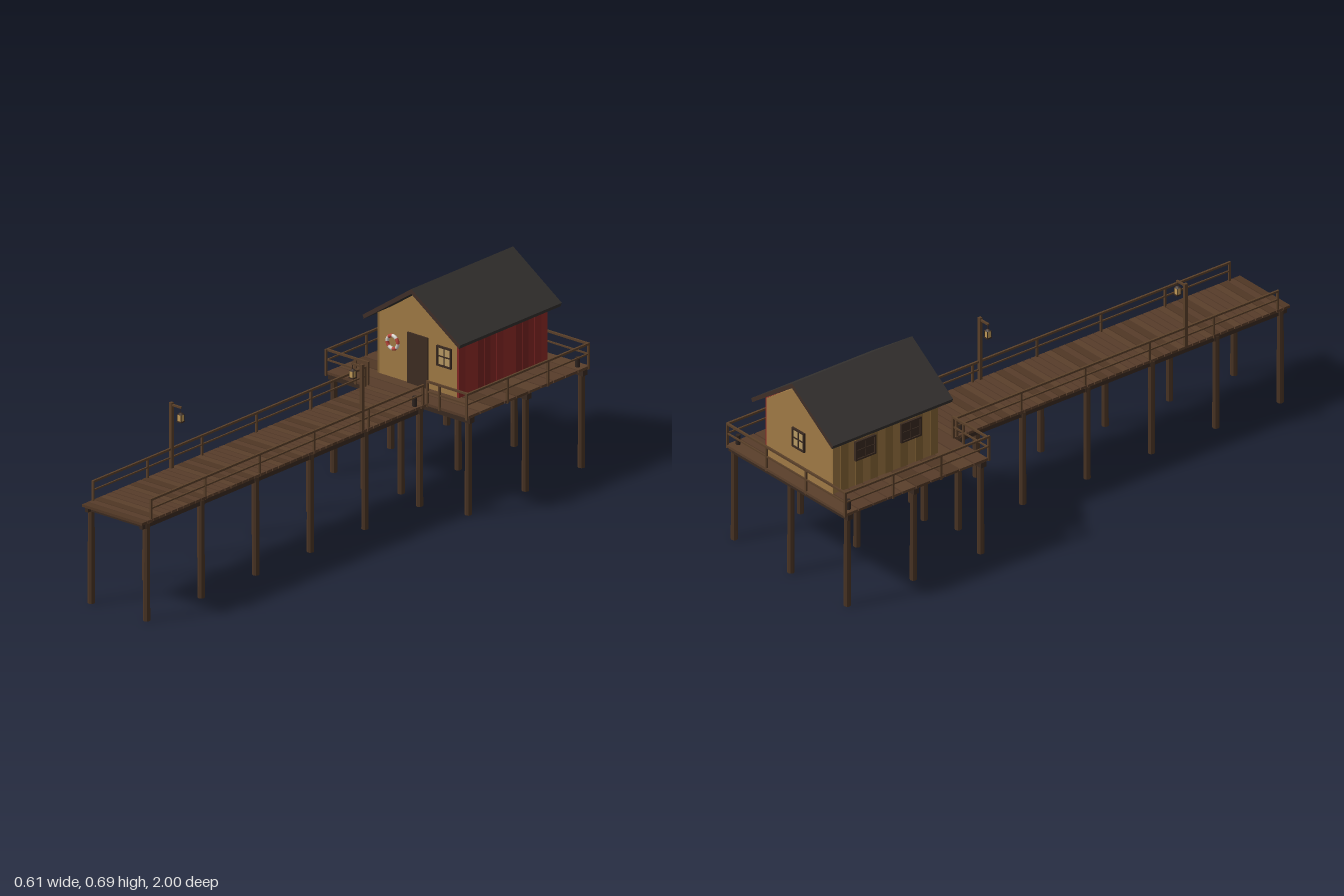
import * as THREE from 'three';

const mat = (color, extra = {}) => new THREE.MeshStandardMaterial({ color, ...extra });
const M = {
  planks: [0x5a3f2b, 0x503725, 0x634630, 0x573c2a].map((c) => mat(c)),
  pile: mat(0x4a3424, { flatShading: true }),
  rail: mat(0x5a4029),
  dark: mat(0x3a2a20),
  bollard: mat(0x2e2420),
  tan: mat(0xa07a45),
  ochre: [mat(0x9a7541), mat(0x846335)],
  red: [mat(0x8e2a27), mat(0x762320), mat(0x842624)],
  roof: mat(0x34312f),
  trim: mat(0x3f2f28),
  door: mat(0x3d2c21),
  pane: mat(0xb89a63),
  glow: mat(0xc09a58),
  buoyRed: mat(0xb8453a),
  buoyWhite: mat(0xd8d4cc),
};
const DECK = 0.348; // walking surface height

function add(parent, name, geometry, material, x = 0, y = 0, z = 0) {
  const mesh = new THREE.Mesh(geometry, material);
  mesh.name = name;
  mesh.position.set(x, y, z);
  parent.add(mesh);
  return mesh;
}
const box = (p, name, m, w, h, d, x, y, z) => add(p, name, new THREE.BoxGeometry(w, h, d), m, x, y, z);

function group(parent, name) {
  const g = new THREE.Group();
  g.name = name;
  parent.add(g);
  return g;
}

// boards laid across x, filling z0..z1 with narrow gaps
function planking(parent, name, halfWidth, z0, z1, count, gap) {
  const g = group(parent, name);
  const pitch = (z1 - z0) / count;
  for (let i = 0; i < count; i++) {
    const m = M.planks[(i * 7 + ((i * i) >> 2)) % M.planks.length];
    box(g, 'plank', m, halfWidth * 2, 0.009, pitch - gap, 0, DECK - 0.0045, z0 + (i + 0.5) * pitch);
  }
}

function pile(parent, x, z) {
  add(parent, 'pile', new THREE.CylinderGeometry(0.011, 0.012, 0.338, 8), M.pile, x, 0.169, z);
}

// straight railing from a to b ([x, z]) with posts at the given fractions
function railing(parent, a, b, stops, top) {
  const g = group(parent, 'railing');
  const dx = b[0] - a[0], dz = b[1] - a[1];
  const cx = (a[0] + b[0]) / 2, cz = (a[1] + b[1]) / 2;
  for (const t of stops) {
    box(g, 'railPost', M.rail, 0.007, top - 0.336, 0.007, a[0] + dx * t, (top + 0.336) / 2, a[1] + dz * t);
  }
  for (const [y, s] of [[top - 0.003, 0.007], [DECK + (top - DECK) * 0.52, 0.005]]) {
    box(g, 'rail', M.rail, Math.abs(dx) + s, s, Math.abs(dz) + s, cx, y, cz);
  }
}

// lamp post on the side given by s, its arm reaching inward over the pier
function lamp(parent, s, z) {
  const g = group(parent, 'lampPost');
  g.position.set(s * 0.122, 0, z);
  box(g, 'post', M.rail, 0.011, 0.235, 0.011, 0, 0.4575, 0);
  box(g, 'arm', M.rail, 0.046, 0.006, 0.007, -s * 0.02, 0.567, 0);
  const x = -s * 0.04;
  add(g, 'hook', new THREE.CylinderGeometry(0.0015, 0.0015, 0.022, 6), M.dark, x, 0.556, 0);
  add(g, 'lanternCap', new THREE.CylinderGeometry(0.004, 0.012, 0.007, 4).rotateY(Math.PI / 4), M.dark, x, 0.546, 0);
  box(g, 'lanternGlass', M.glow, 0.015, 0.022, 0.015, x, 0.532, 0);
  box(g, 'lanternBase', M.dark, 0.019, 0.004, 0.019, x, 0.519, 0);
  for (const i of [-1, 1]) for (const k of [-1, 1]) {
    box(g, 'lanternBar', M.dark, 0.002, 0.024, 0.002, x + i * 0.0075, 0.532, k * 0.0075);
  }
}

// four-pane window facing +z before it is turned
function windowUnit(parent, x, y, z, turn, w = 0.062, h = 0.07, pane = M.pane) {
  const g = group(parent, 'window');
  g.position.set(x, y, z);
  g.rotation.y = turn;
  box(g, 'panes', pane, w - 0.004, h - 0.004, 0.004, 0, 0, 0.001);
  for (const s of [-1, 1]) {
    box(g, 'frameSide', M.dark, 0.006, h, 0.01, s * (w / 2 - 0.003), 0, 0.002);
    box(g, 'frameRail', M.dark, w, 0.006, 0.01, 0, s * (h / 2 - 0.003), 0.002);
  }
  box(g, 'mullion', M.dark, 0.004, h, 0.007, 0, 0, 0.002);
  box(g, 'crossbar', M.dark, w, 0.004, 0.007, 0, 0, 0.002);
}

function prism(points, depth) {
  const shape = new THREE.Shape(points.map((p) => new THREE.Vector2(...p)));
  return new THREE.ExtrudeGeometry(shape, { depth, bevelEnabled: false });
}

function buildPier(root) {
  const g = group(root, 'pier');
  planking(g, 'pierDeck', 0.128, -0.4, 1, 48, 0.0035);
  for (const s of [-1, 1]) {
    box(g, 'stringer', M.dark, 0.012, 0.018, 1.38, s * 0.116, 0.33, 0.3);
    railing(g, [s * 0.123, 0.95], [s * 0.123, -0.385], [0, 0.2, 0.4, 0.6, 0.8, 1], 0.417);
    add(g, 'bollard', new THREE.CylinderGeometry(0.008, 0.008, 0.044, 8), M.bollard, s * 0.112, 0.36, -0.358);
  }
  for (let i = 0; i < 6; i++) {
    const z = 0.965 - i * 0.268;
    box(g, 'crossBeam', M.dark, 0.25, 0.018, 0.02, 0, 0.33, z);
    for (const s of [-1, 1]) pile(g, s * 0.118, z);
  }
  lamp(g, -1, 0.567);
  lamp(g, 1, -0.088);
}

function buildPlatform(root) {
  const g = group(root, 'platform');
  planking(g, 'platformDeck', 0.302, -1, -0.4, 10, 0.005);
  for (const z of [-0.42, -0.7, -0.975]) {
    box(g, 'crossBeam', M.dark, 0.606, 0.019, 0.022, 0, 0.3295, z);
    for (const x of [-0.287, 0, 0.287]) pile(g, x, z);
  }
  for (const s of [-1, 1]) {
    railing(g, [s * 0.3, -0.397], [s * 0.3, -0.994], [0, 1 / 3, 2 / 3, 1], 0.427);
    railing(g, [s * 0.3, -0.403], [s * 0.127, -0.403], [0.7, 1], 0.427);
    add(g, 'bollard', new THREE.CylinderGeometry(0.008, 0.008, 0.044, 8), M.bollard, s * 0.28, 0.36, -0.965);
  }
  railing(g, [-0.3, -0.994], [0.3, -0.994], [1 / 3, 2 / 3], 0.427);
}

function buildCabin(root) {
  const g = group(root, 'cabin');
  const back = -0.94, front = -0.505, depth = front - back, floor = 0.345;
  add(g, 'walls', prism([[-0.166, floor], [0.166, floor], [0.166, 0.557], [0, 0.669], [-0.166, 0.557]], depth), M.tan, 0, 0, back);

  // vertical board cladding: red on the left side, ochre on the right
  const boards = 14, pitch = depth / boards;
  for (let i = 0; i < boards; i++) {
    const z = back + (i + 0.5) * pitch;
    const out = (i % 2) * 0.0015;
    box(g, 'redBoard', M.red[(i * 5 + (i >> 1)) % 3], 0.007 + out, 0.213, pitch, 0.1685 + out / 2, 0.4515, z);
    box(g, 'ochreBoard', M.ochre[i % 2], 0.007 + out, 0.213, pitch, -0.1685 - out / 2, 0.4515, z);
  }

  // roof: two sloping slabs meeting at the ridge
  for (const s of [-1, 1]) {
    const section = [[0, 0.674], [s * 0.203, 0.536], [s * 0.208, 0.549], [0, 0.691]];
    add(g, 'roofSlope', prism(section, 0.5), [M.trim, M.roof], 0, 0, -0.97);
  }

  box(g, 'door', M.door, 0.087, 0.178, 0.008, 0, 0.434, front + 0.002);
  windowUnit(g, 0.113, 0.475, front, 0);
  windowUnit(g, 0, 0.475, back, Math.PI);
  for (const z of [-0.81, -0.62]) windowUnit(g, -0.174, 0.475, z, -Math.PI / 2, 0.085, 0.07, M.dark);

  // life ring in alternating red and white arcs
  const ring = group(g, 'lifeRing');
  ring.position.set(-0.105, 0.472, front + 0.006);
  for (let i = 0; i < 8; i++) {
    const arc = add(ring, 'ringSection', new THREE.TorusGeometry(0.0225, 0.006, 10, 6, Math.PI / 4), i % 2 ? M.buoyWhite : M.buoyRed);
    arc.rotation.z = (i * Math.PI) / 4;
  }
}

export function createModel() {
  const root = new THREE.Group();
  root.name = 'pierWithCabin';
  buildPier(root);
  buildPlatform(root);
  buildCabin(root);
  return root;
}
